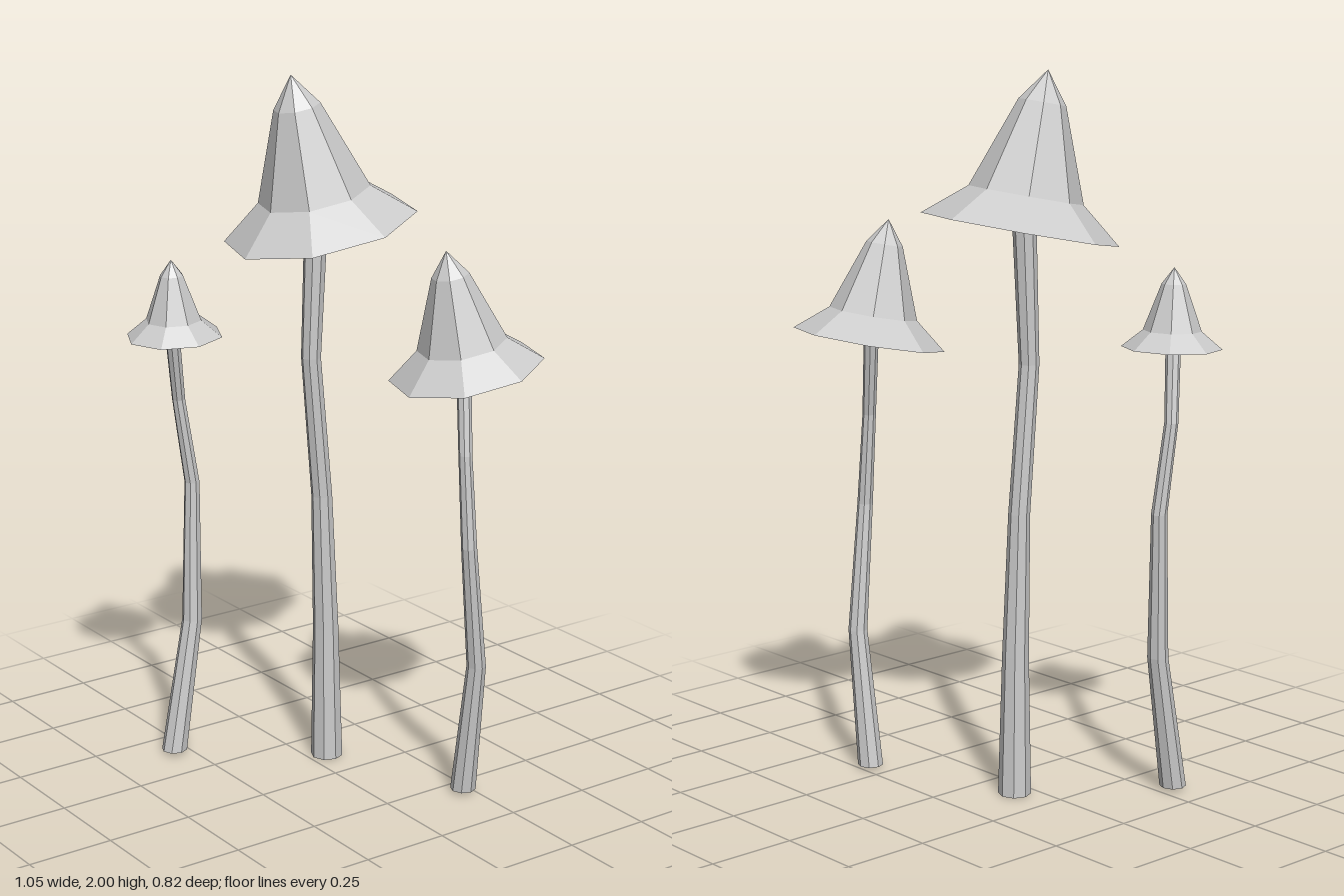
import * as THREE from 'three';

const SIDES = 8;
const material = new THREE.MeshStandardMaterial({ color: 0xcccccc, flatShading: true });

// Cap profile for a rim radius of 1: flat underside, flared brim, steep bell, blunt tip
const CAP_PROFILE = [[0, 0], [1, 0], [0.58, 0.345], [0.24, 1.27], [0, 1.595]]
  .map(([r, y]) => new THREE.Vector2(r, y));

// stem: [x, y, z, radius] from the ground up; lean: horizontal part of the cap axis
const MUSHROOMS = [
  {
    name: 'tallMushroom',
    stem: [[-0.125, 0, -0.058, 0.046], [-0.125, 0.4, -0.055, 0.037], [-0.125, 0.8, -0.042, 0.03],
      [-0.123, 1.21, -0.005, 0.028], [-0.122, 1.61, -0.023, 0.033]],
    cap: { centre: [-0.118, 1.578, -0.034], radius: 0.27, turn: 0.085, lean: [-0.04, 0.2] },
  },
  {
    name: 'leftMushroom',
    stem: [[0.309, 0.01, -0.222, 0.036], [0.362, 0.4, -0.22, 0.027], [0.38, 0.76, -0.174, 0.022],
      [0.36, 1.02, -0.172, 0.019], [0.316, 1.26, -0.197, 0.021]],
    cap: { centre: [0.315, 1.243, -0.206], radius: 0.212, turn: 0.095, lean: [-0.04, 0.19] },
  },
  {
    name: 'smallMushroom',
    stem: [[-0.394, 0.01, 0.296, 0.037], [-0.4, 0.4, 0.224, 0.029], [-0.415, 0.81, 0.207, 0.022],
      [-0.421, 1.06, 0.243, 0.019], [-0.387, 1.265, 0.281, 0.021]],
    cap: { centre: [-0.39, 1.257, 0.272], radius: 0.137, turn: -0.05, lean: [0.01, 0.04] },
  },
];

// Bent, tapering stem: every ring of a cylinder is moved to its own centre and radius
function createStem(rings) {
  const last = rings.length - 1;
  const geometry = new THREE.CylinderGeometry(1, 1, 1, SIDES, last);
  const p = geometry.attributes.position;
  for (let i = 0; i < p.count; i++) {
    const [x, y, z, r] = rings[Math.round((p.getY(i) + 0.5) * last)];
    p.setXYZ(i, x + p.getX(i) * r, y, z + p.getZ(i) * r);
  }
  geometry.computeVertexNormals();
  const stem = new THREE.Mesh(geometry, material);
  stem.name = 'stem';
  return stem;
}

// Bell-shaped cap, turned about its axis and then tilted
function createCap({ centre, radius, turn, lean }) {
  const cap = new THREE.Mesh(new THREE.LatheGeometry(CAP_PROFILE, SIDES), material);
  cap.name = 'cap';
  cap.scale.setScalar(radius);
  cap.position.set(...centre);
  const up = new THREE.Vector3(0, 1, 0);
  const axis = new THREE.Vector3(lean[0], 1, lean[1]).normalize();
  cap.quaternion.setFromUnitVectors(up, axis)
    .multiply(new THREE.Quaternion().setFromAxisAngle(up, turn));
  return cap;
}

export function createModel() {
  const model = new THREE.Group();
  model.name = 'mushroomCluster';
  for (const { name, stem, cap } of MUSHROOMS) {
    const mushroom = new THREE.Group();
    mushroom.name = name;
    mushroom.add(createStem(stem), createCap(cap));
    model.add(mushroom);
  }
  return model;
}
